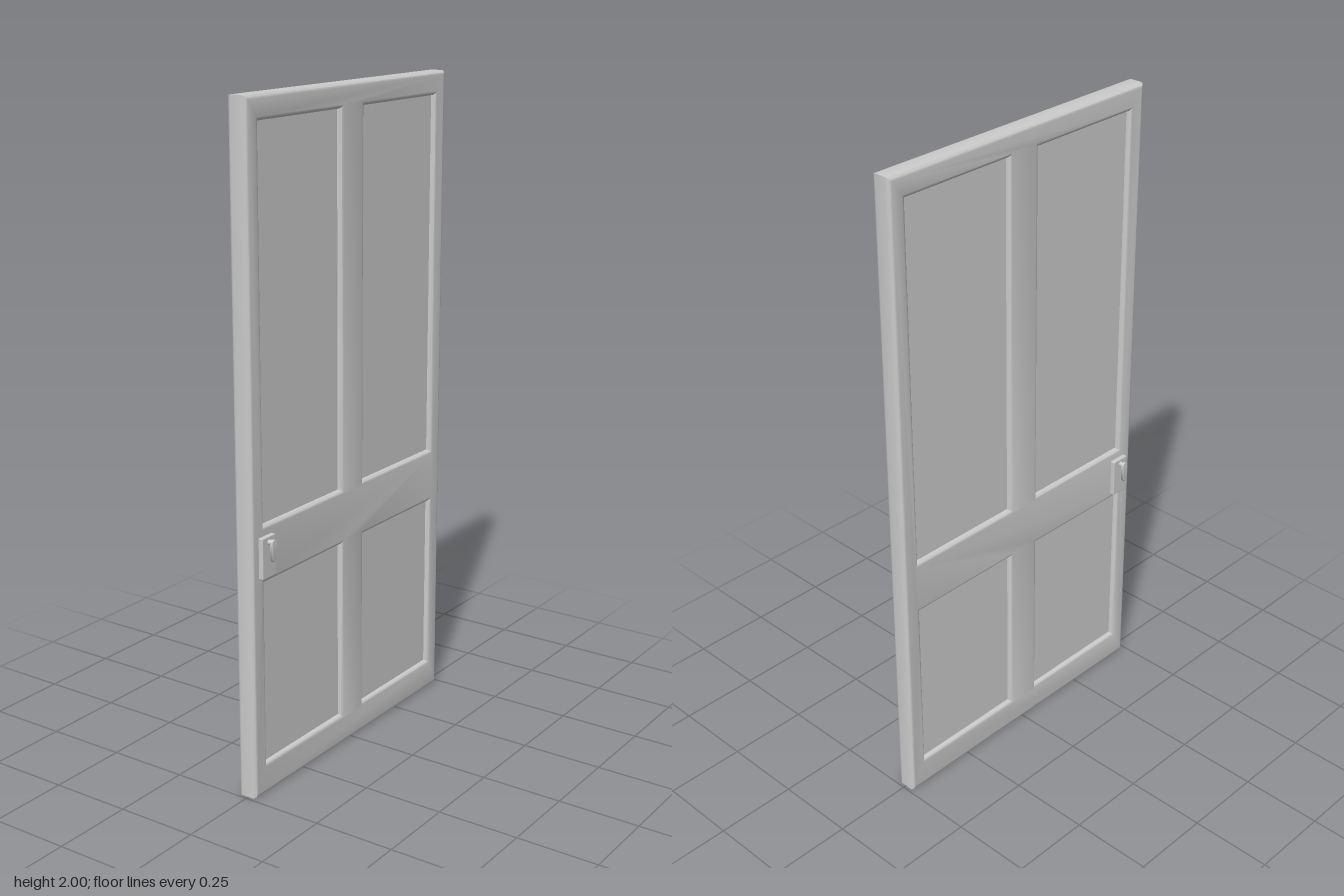
import * as THREE from 'three';
import { toCreasedNormals } from 'three/addons/utils/BufferGeometryUtils.js';
import { RoundedBoxGeometry } from 'three/addons/geometries/RoundedBoxGeometry.js';

const material = new THREE.MeshStandardMaterial({ color: 0xcccccc });
const HALF_WIDTH = 0.49, HEIGHT = 2, THICKNESS = 0.061, DOOR_X = -0.002;
const HANDLE_Z = 0.43;

function addMesh(parent, name, geometry, x = 0, y = 0, z = 0) {
  const mesh = new THREE.Mesh(geometry, material);
  mesh.name = name;
  mesh.position.set(x, y, z);
  parent.add(mesh);
  return mesh;
}

function rectangle(path, x0, y0, x1, y1) {
  return path.moveTo(x0, y0).lineTo(x1, y0).lineTo(x1, y1).lineTo(x0, y1).closePath();
}

// Extrudes a side-on outline with rounded edges, centred through the x axis
function extrudeAcross(shape, thickness, bevel) {
  const geometry = new THREE.ExtrudeGeometry(shape, {
    depth: thickness - 2 * bevel, bevelThickness: bevel, bevelSize: bevel,
    bevelOffset: -bevel, bevelSegments: 3, curveSegments: 16,
  });
  geometry.translate(0, 0, bevel - thickness / 2);
  geometry.rotateY(Math.PI / 2);
  return toCreasedNormals(geometry, 0.7);
}

// Back plate, neck and hanging tapered lever, projecting towards +x
function createHandle(name) {
  const handle = new THREE.Group();
  handle.name = name;
  addMesh(handle, 'backPlate', new RoundedBoxGeometry(0.018, 0.122, 0.06, 2, 0.003), 0.035, 0.729, 0);

  const neck = new THREE.CylinderGeometry(0.008, 0.008, 0.02, 20).rotateZ(Math.PI / 2);
  addMesh(handle, 'neck', neck, 0.049, 0.773, 0);

  const outline = new THREE.Shape();
  outline.absarc(0, 0, 0.0105, -0.15, Math.PI + 0.15, false);
  outline.lineTo(-0.007, -0.05);
  outline.quadraticCurveTo(0, -0.062, 0.007, -0.05);
  outline.closePath();
  addMesh(handle, 'lever', extrudeAcross(outline, 0.01, 0.002), 0.058, 0.773, 0);
  return handle;
}

export function createModel() {
  const door = new THREE.Group();
  door.name = 'door';

  // Stiles and rails: one rounded slab with four openings
  const outline = rectangle(new THREE.Shape(), -HALF_WIDTH, 0, HALF_WIDTH, HEIGHT);
  const rows = [[0.095, 0.65], [0.82, 1.93]];
  const columns = [[-0.433, -0.058], [0.058, 0.433]];
  for (const [y0, y1] of rows) {
    for (const [x0, x1] of columns) {
      outline.holes.push(rectangle(new THREE.Path(), x0, y0, x1, y1));
      // Recessed panel filling the opening
      const panel = new THREE.BoxGeometry(0.032, y1 - y0 + 0.01, x1 - x0 + 0.01);
      addMesh(door, 'panel', panel, DOOR_X, (y0 + y1) / 2, (x0 + x1) / 2);
    }
  }
  addMesh(door, 'frame', extrudeAcross(outline, THICKNESS, 0.012), DOOR_X);

  // Matching handles on both faces
  const left = createHandle('leftHandle');
  left.position.set(DOOR_X, 0, HANDLE_Z);
  const right = createHandle('rightHandle');
  right.rotation.y = Math.PI;
  right.position.set(DOOR_X, 0, HANDLE_Z);
  door.add(left, right);
  return door;
}
